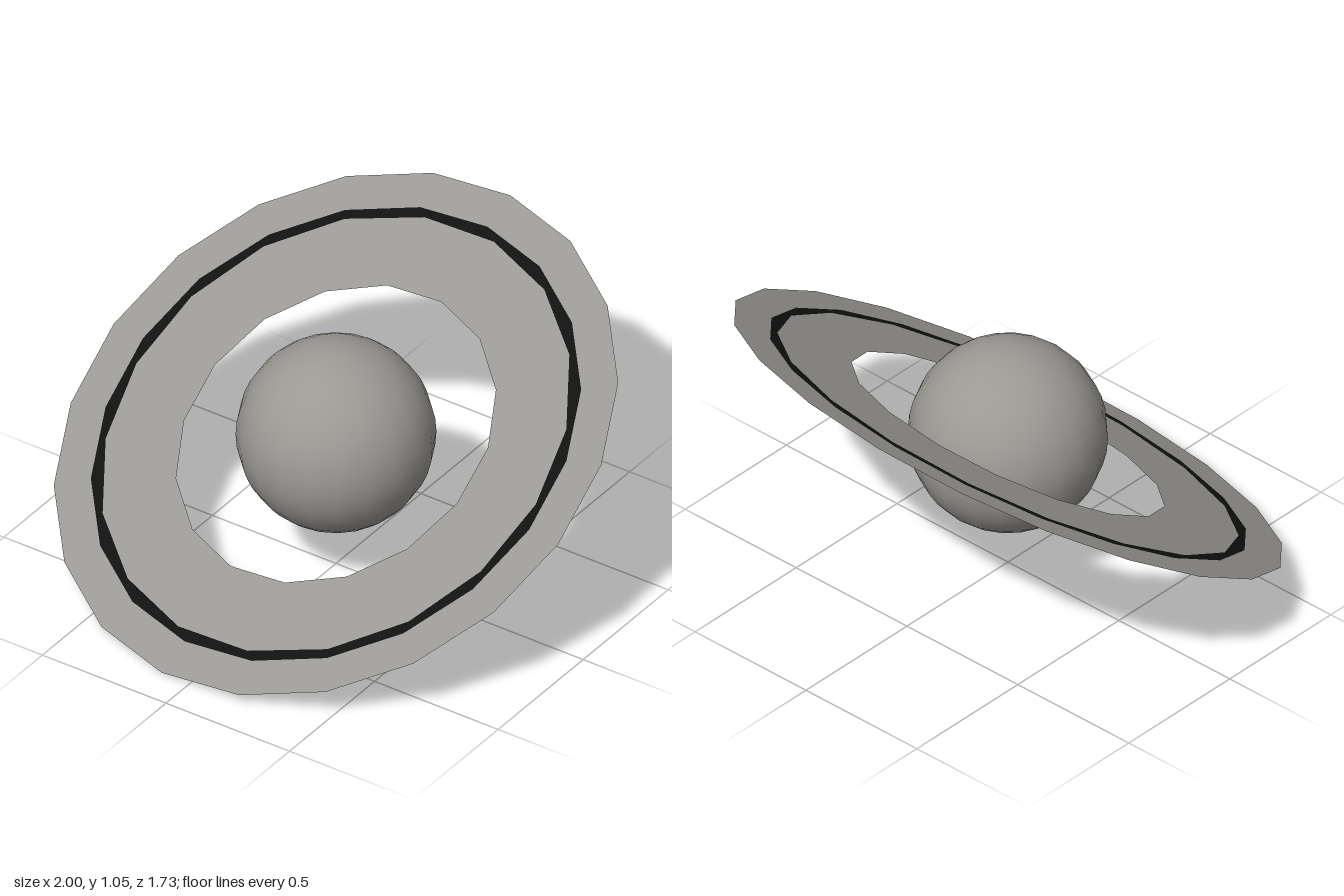
import * as THREE from 'three';

const rad = THREE.MathUtils.degToRad;

// Regular polygon in the ring plane: vertex radius, side count, phase in degrees
function polygon(radius, sides, phase) {
  return Array.from({ length: sides }, (_, i) => {
    const a = rad(phase) + (i / sides) * Math.PI * 2;
    return new THREE.Vector2(Math.cos(a) * radius, Math.sin(a) * radius);
  });
}

// Flat band between two polygons
function band(name, outer, inner, material) {
  const shape = new THREE.Shape(outer);
  shape.holes.push(new THREE.Path(inner));
  const mesh = new THREE.Mesh(new THREE.ShapeGeometry(shape), material);
  mesh.name = name;
  return mesh;
}

export function createModel() {
  const model = new THREE.Group();
  model.name = 'ringedPlanet';

  const stone = new THREE.MeshStandardMaterial({ color: 0x9b9994 });
  stone.name = 'planet grey';
  const ringGrey = new THREE.MeshStandardMaterial({ color: 0x9b9994, side: THREE.DoubleSide });
  ringGrey.name = 'ring grey';
  const dark = new THREE.MeshStandardMaterial({ color: 0x111111, side: THREE.DoubleSide });
  dark.name = 'gap black';

  // Planet
  const planet = new THREE.Mesh(new THREE.SphereGeometry(0.335, 20, 20), stone);
  planet.name = 'planet';
  planet.position.y = 0.53;
  model.add(planet);

  // Edges of the ring, from outside to inside
  const rim = polygon(1.013, 20, 8.2);
  const gapOuter = polygon(0.88, 20, 8.2);
  const gapInner = polygon(0.845, 18, 16.2);
  const hole = polygon(0.575, 16, 9.7);

  // Ring system, tilted up at the back and slightly to the left
  const rings = new THREE.Group();
  rings.name = 'rings';
  rings.add(
    band('outerRing', rim, gapOuter, ringGrey),
    band('darkGap', gapOuter, gapInner, dark),
    band('innerRing', gapInner, hole, ringGrey)
  );
  const normal = new THREE.Vector3(-0.1155, 1, 0.593).normalize();
  const across = new THREE.Vector3(1, 0.1155, 0).normalize();
  const back = new THREE.Vector3().crossVectors(normal, across);
  rings.quaternion.setFromRotationMatrix(new THREE.Matrix4().makeBasis(across, back, normal));
  rings.position.y = 0.525;
  model.add(rings);

  return model;
}
